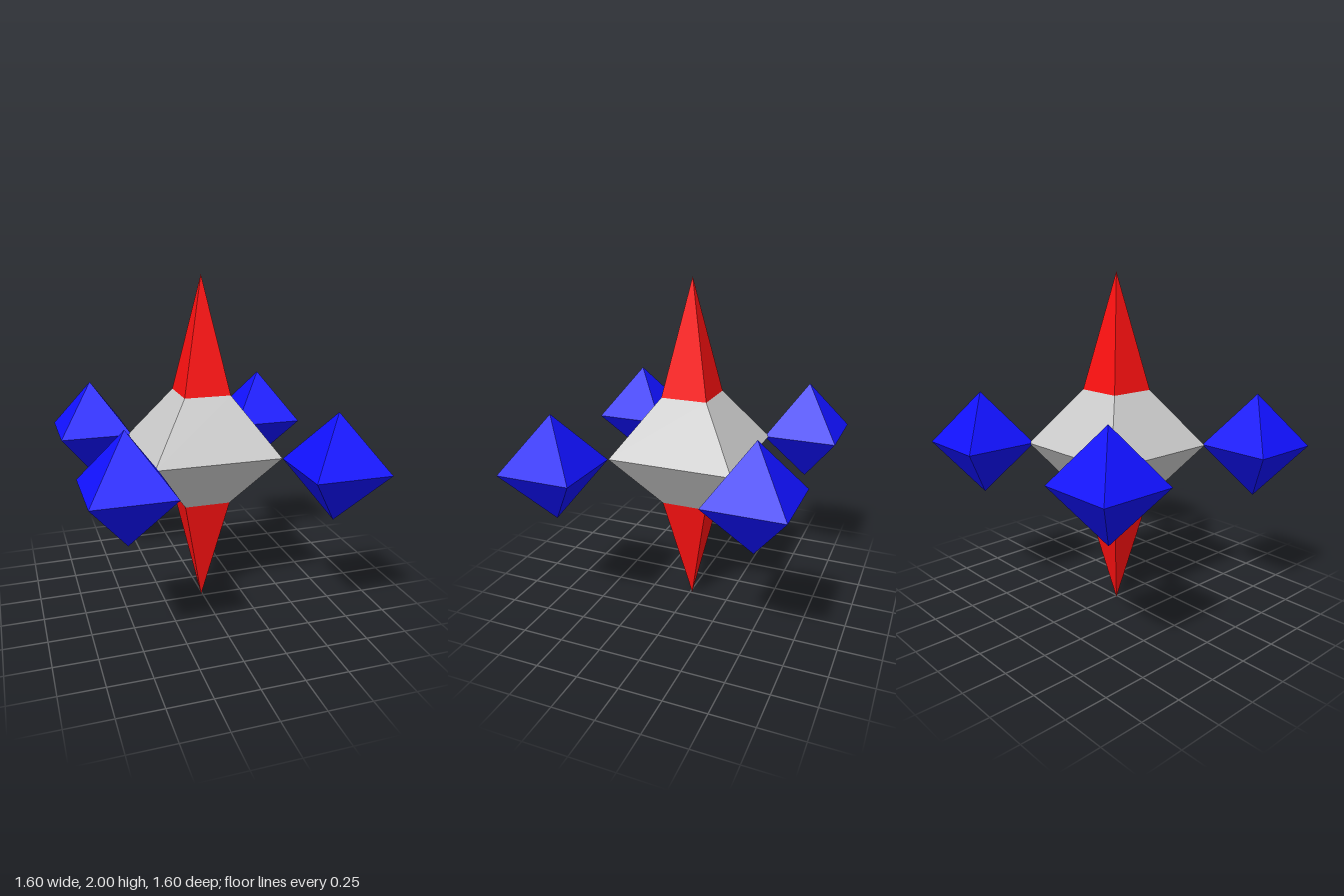
import * as THREE from 'three';

const grey = new THREE.MeshStandardMaterial({ color: 0xcccccc, flatShading: true });
const red = new THREE.MeshStandardMaterial({ color: 0xff1111, flatShading: true });
const blue = new THREE.MeshStandardMaterial({ color: 0x1111ff, flatShading: true });

// Square frustum or pyramid, given half-widths and its lower and upper heights
function frustum(name, material, bottomHalf, topHalf, y0, y1) {
  const geometry = new THREE.CylinderGeometry(
    topHalf * Math.SQRT2, bottomHalf * Math.SQRT2, y1 - y0, 4, 1, true);
  geometry.rotateY(Math.PI / 4);
  geometry.translate(0, (y0 + y1) / 2, 0);
  const mesh = new THREE.Mesh(geometry, material);
  mesh.name = name;
  return mesh;
}

export function createModel() {
  const model = new THREE.Group();
  model.name = 'spikedStation';

  // Central body: two frustums base to base, ending in long spires
  const body = new THREE.Group();
  body.name = 'body';
  body.position.set(-0.01, 0, -0.013);
  const waist = 0.37, neck = 0.1375;
  body.add(
    frustum('upperCore', grey, waist, neck, 1, 1.33),
    frustum('lowerCore', grey, neck, waist, 0.67, 1),
    frustum('upperSpire', red, neck, 0, 1.33, 2),
    frustum('lowerSpire', red, 0, neck, 0, 0.67),
  );
  model.add(body);

  // Four double pyramids touching the corners of the core
  const corners = [
    ['frontLeftPod', 0.58, 0.58],
    ['frontRightPod', -0.58, 0.58],
    ['backLeftPod', 0.565, -0.58],
    ['backRightPod', -0.58, -0.58],
  ];
  for (const [name, x, z] of corners) {
    const pod = new THREE.Group();
    pod.name = name;
    pod.position.set(x, 0, z);
    pod.add(
      frustum('podTop', blue, 0.22, 0, 1, 1.31),
      frustum('podBottom', blue, 0, 0.22, 0.69, 1),
    );
    model.add(pod);
  }
  return model;
}
